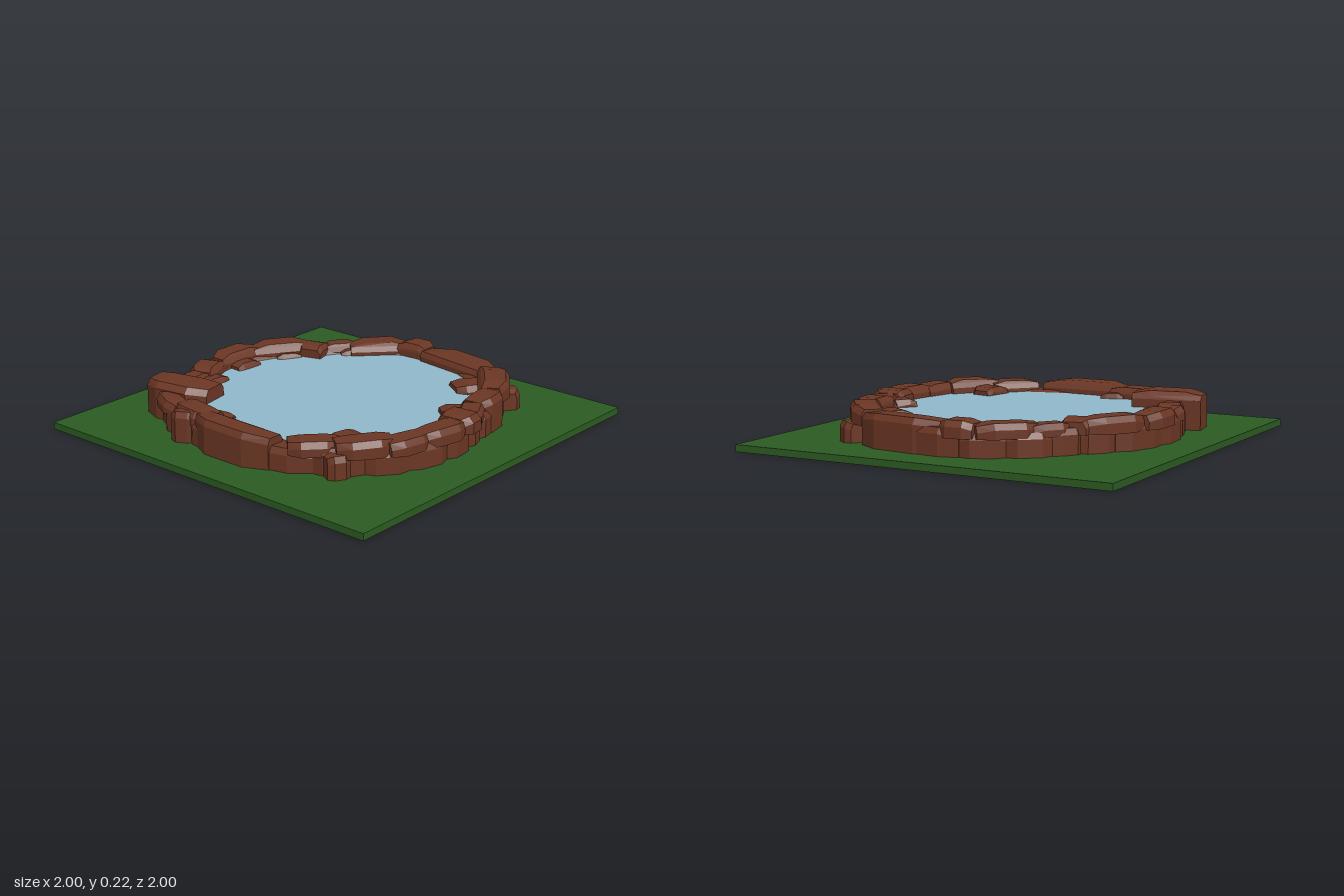
import * as THREE from 'three';
import { ConvexGeometry } from 'three/addons/geometries/ConvexGeometry.js';

const GROUND = 0.035, WATER = 0.14;

// Rim stones in order around the pool: x0, z0, x1, z1, width, top
const rim = [
  [-0.515, -0.77, -0.45, -0.42, 0.2, 0.225],
  [-0.40, -0.66, -0.27, -0.67, 0.1, 0.19],
  [-0.29, -0.67, -0.11, -0.74, 0.14, 0.2],
  [-0.11, -0.735, 0.17, -0.73, 0.13, 0.21],
  [0.14, -0.72, 0.40, -0.55, 0.13, 0.21],
  [0.33, -0.49, 0.46, -0.53, 0.15, 0.2],
  [0.44, -0.49, 0.59, -0.38, 0.1, 0.19],
  [0.53, -0.38, 0.75, -0.17, 0.14, 0.2],
  [0.73, -0.18, 0.74, -0.01, 0.14, 0.21],
  [0.72, -0.01, 0.66, 0.46, 0.13, 0.205],
  [0.68, 0.42, 0.43, 0.61, 0.15, 0.22],
  [0.45, 0.61, 0.24, 0.64, 0.14, 0.21],
  [0.27, 0.61, 0.09, 0.71, 0.12, 0.195],
  [0.14, 0.69, 0.0, 0.70, 0.18, 0.21],
  [0.01, 0.73, -0.23, 0.69, 0.13, 0.205],
  [-0.2, 0.69, -0.42, 0.64, 0.13, 0.2],
  [-0.36, 0.63, -0.58, 0.47, 0.14, 0.21],
  [-0.52, 0.45, -0.69, 0.28, 0.14, 0.2],
  [-0.705, 0.22, -0.70, -0.26, 0.13, 0.205],
  [-0.67, -0.2, -0.64, -0.44, 0.14, 0.2],
  [-0.67, -0.42, -0.57, -0.63, 0.12, 0.19],
];
const fullHeight = new Set([0, 9, 11, 18]);

// Small low stones: x, z, size, angle, top
const ledges = [
  [-0.44, 0.42, 0.16, 0.2, 0.18], [0.51, 0.43, 0.18, 0.6, 0.18],
  [0.17, 0.59, 0.14, 0.7, 0.18], [-0.27, -0.61, 0.14, 0, 0.17],
  [0.01, -0.66, 0.15, 0.1, 0.17], [0.27, -0.59, 0.13, 0.6, 0.165],
  [0.53, -0.37, 0.12, 0.7, 0.165], [-0.61, -0.22, 0.12, 1.4, 0.17],
  [-0.72, -0.35, 0.12, 1.2, 0.19], [-0.6, 0.5, 0.11, 0.5, 0.15],
  [0.64, 0.56, 0.12, 2.2, 0.14],
];

function seeded(seed) {
  return () => {
    seed = (seed * 16807) % 2147483647;
    return seed / 2147483647;
  };
}

// Convex chipped block between two ground points, its middle swelling away from the pool
function stoneGeometry(x0, z0, x1, z1, width, bottom, top, rand) {
  const dx = x1 - x0, dz = z1 - z0, length = Math.hypot(dx, dz);
  let nx = -dz / length, nz = dx / length;
  if (nx * (x0 + x1) + nz * (z0 + z1) < 0) { nx = -nx; nz = -nz; }
  const bulge = length * 0.09, points = [];
  for (const [t, narrow] of [[0, 0.8], [0.25, 1], [0.75, 1], [1, 0.8]]) {
    const end = t === 0 || t === 1;
    const w = width / 2 * narrow * (0.93 + rand() * 0.14);
    const high = top - (end ? 0.014 : 0) - rand() * 0.004;
    const section = [[-w, bottom], [w, bottom], [w, high - 0.03], [w * 0.72, high],
      [-w * 0.72, high], [-w, high - 0.025]];
    for (const [side, y] of section) {
      const s = side + (end ? 0 : bulge);
      points.push(new THREE.Vector3(x0 + dx * t + nx * s, y, z0 + dz * t + nz * s));
    }
  }
  return new ConvexGeometry(points);
}

export function createModel() {
  const model = new THREE.Group();
  const material = (name, color) => {
    const m = new THREE.MeshStandardMaterial({ color });
    m.name = name;
    return m;
  };
  const grass = material('grass green', 0x2c5a22);
  const rock = material('reddish brown rock', 0x6b3624);
  const blue = material('pale blue water', 0x90b7ca);
  const rand = seeded(4127);

  const add = (name, geometry, mat, parent = model) => {
    const mesh = new THREE.Mesh(geometry, mat);
    mesh.name = name;
    parent.add(mesh);
    return mesh;
  };
  const addGroup = (name) => {
    const group = new THREE.Group();
    group.name = name;
    model.add(group);
    return group;
  };

  // Square lawn
  add('lawn', new THREE.BoxGeometry(2, GROUND, 2), grass).position.y = GROUND / 2;

  // Water surface reaching under the middle of the stone ring
  const middles = rim.map(([x0, z0, x1, z1]) => [(x0 + x1) / 2, (z0 + z1) / 2]);
  const outline = new THREE.Shape(middles.map(([x, z]) => new THREE.Vector2(x, -z)));
  const water = add('water', new THREE.ShapeGeometry(outline), blue);
  water.rotation.x = -Math.PI / 2;
  water.position.y = WATER;

  // Rim stones, a few standing on the lawn and the rest capping the wall
  const rimGroup = addGroup('rimStones');
  rim.forEach(([x0, z0, x1, z1, width, top], i) => {
    const bottom = fullHeight.has(i) ? GROUND : 0.125;
    add('rimStone', stoneGeometry(x0, z0, x1, z1, width, bottom, top, rand), rock, rimGroup);
  });

  // Lower course, each stone bridging the middles of two rim stones
  const wallGroup = addGroup('wallStones');
  middles.forEach(([x0, z0], i) => {
    const [x1, z1] = middles[(i + 1) % middles.length];
    const ex = (x1 - x0) * 0.08, ez = (z1 - z0) * 0.08;
    const top = 0.15 + rand() * 0.02;
    add('wallStone', stoneGeometry(x0 - ex, z0 - ez, x1 + ex, z1 + ez, 0.125, GROUND, top, rand),
      rock, wallGroup);
  });

  // Loose stones along the water's edge and foot of the wall
  const ledgeGroup = addGroup('ledgeStones');
  for (const [x, z, size, angle, top] of ledges) {
    const cx = Math.cos(angle) * size / 2, cz = Math.sin(angle) * size / 2;
    add('ledgeStone', stoneGeometry(x - cx, z - cz, x + cx, z + cz, size * 0.85, GROUND, top, rand),
      rock, ledgeGroup);
  }
  return model;
}
